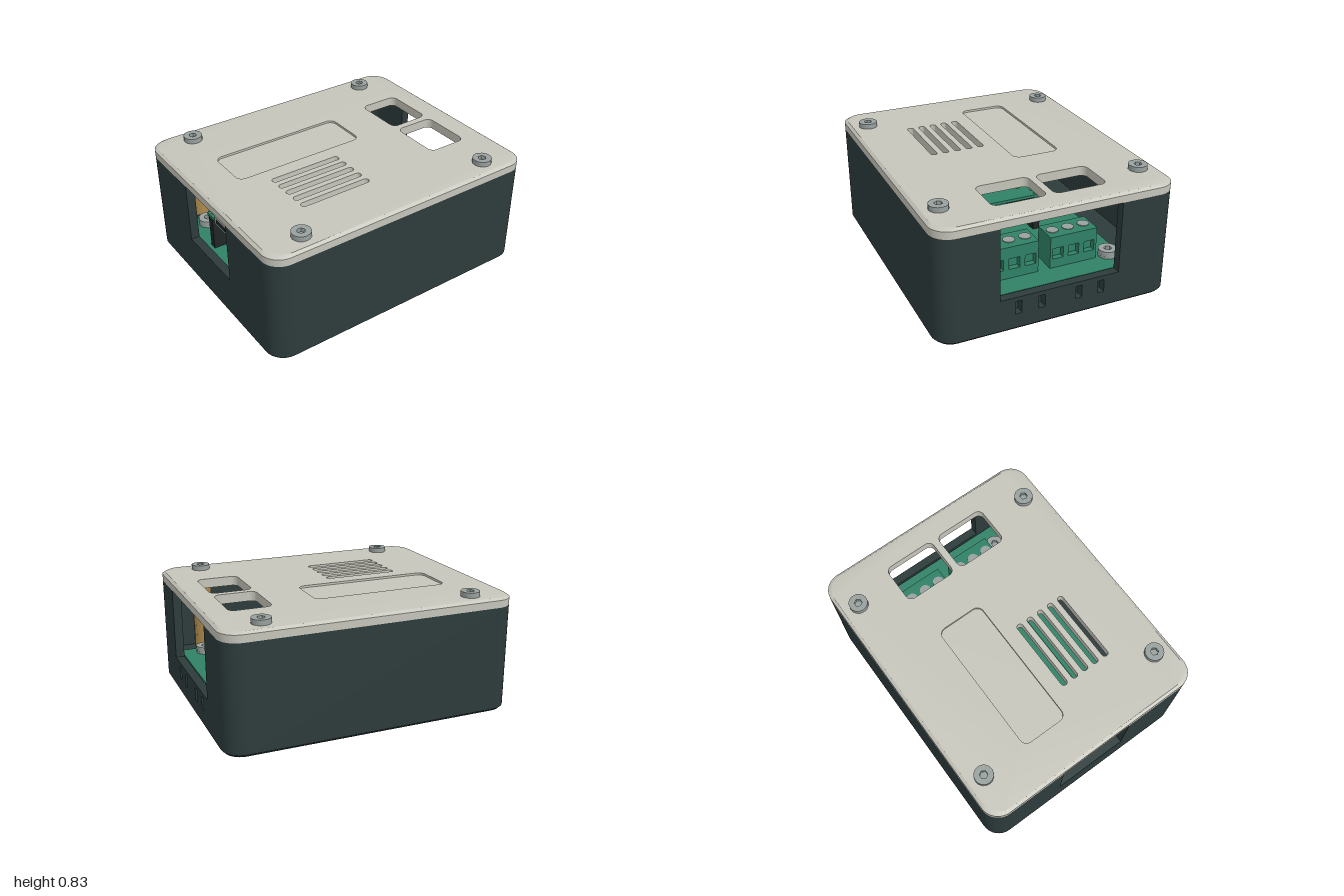
import * as THREE from 'three';
import { toCreasedNormals } from 'three/addons/utils/BufferGeometryUtils.js';

const mat = (name, color) => {
  const m = new THREE.MeshStandardMaterial({ color });
  m.name = name;
  return m;
};

// Rounded rectangle centred on (cx, cz); shape y is -z
function rounded(w, d, r, cx = 0, cz = 0, Type = THREE.Shape) {
  const s = new Type(), x = w / 2 - r, y = d / 2 - r, q = Math.PI / 2;
  [[x, y], [-x, y], [-x, -y], [x, -y]].forEach(([a, b], i) =>
    s.absarc(cx + a, -cz + b, r, i * q, (i + 1) * q, false));
  s.closePath();
  return s;
}

// Regular polygon path
function polygon(n, r, Type = THREE.Path) {
  return new Type(Array.from({ length: n }, (_, i) => {
    const a = (i / n) * Math.PI * 2;
    return new THREE.Vector2(r * Math.cos(a), r * Math.sin(a));
  }));
}

const polyShape = (pts) => new THREE.Shape(pts.map(([x, y]) => new THREE.Vector2(x, y)));

// Flat shape extruded upward from y0 to y1
function slab(shape, y0, y1) {
  const g = new THREE.ExtrudeGeometry(shape, { depth: y1 - y0, bevelEnabled: false, curveSegments: 8 });
  return toCreasedNormals(g.rotateX(-Math.PI / 2).translate(0, y0, 0), 0.6);
}

export function createModel() {
  const model = new THREE.Group();
  const dark = mat('dark case', 0x2d3b3b);
  const cream = mat('pale lid', 0xc6c5bb);
  const green = mat('board green', 0x2f8166);
  const steel = mat('steel', 0x98a19f);
  const brass = mat('brass', 0xb08c4e);
  const black = mat('black plastic', 0x1e2625);

  const add = (name, geo, material, x = 0, y = 0, z = 0, parent = model) => {
    const m = new THREE.Mesh(geo, material);
    m.name = name;
    m.position.set(x, y, z);
    parent.add(m);
    return m;
  };
  const box = (name, w, h, d, material, x, y, z) =>
    add(name, new THREE.BoxGeometry(w, h, d), material, x, y, z);
  const corners = (x, z, fn) => {
    for (const sx of [-1, 1]) for (const sz of [-1, 1]) fn(sx * x, sz * z);
  };

  const W = 1, D = 0.82, R = 0.13, T = 0.06, C = 0.02, TOP = 0.735;

  // Case corners and the plain front and back walls share one section
  const section = [[-C, 0], [0, C], [0, TOP], [-T, TOP], [-T, 0]];
  const lathePts = [...section, section[0]].map(([x, y]) => new THREE.Vector2(R + x, y));
  for (let i = 0; i < 4; i++) {
    const g = new THREE.LatheGeometry(lathePts, 8, (i * Math.PI) / 2, Math.PI / 2);
    add('caseCorner', toCreasedNormals(g, 0.6), dark,
      (i < 2 ? 1 : -1) * (W - R), 0, (i === 0 || i === 3 ? 1 : -1) * (D - R));
  }
  const strip = (pts, len) => new THREE.ExtrudeGeometry(polyShape(pts),
    { depth: len, bevelEnabled: false }).translate(0, 0, -len / 2);
  for (const s of [1, -1]) {
    add(s > 0 ? 'frontWall' : 'backWall', strip(section, 2 * (W - R)), dark, 0, 0, s * D)
      .rotation.y = -s * Math.PI / 2;
    add('sideWallFoot', strip([[-C, 0], [0, C], [-T, C], [-T, 0]], 2 * (D - R)), dark, s * W, 0, 0)
      .rotation.y = s > 0 ? 0 : Math.PI;
  }

  // Side walls with their openings and connector slots
  function sideWall(name, half, sill, slots, x) {
    const e = D - R;
    const s = polyShape([[-e, C], [e, C], [e, TOP], [half, TOP], [half, sill],
      [-half, sill], [-half, TOP], [-e, TOP]]);
    slots.forEach((z) => s.holes.push(rounded(0.045, 0.09, 0.004, z, -0.165, THREE.Path)));
    const g = new THREE.ExtrudeGeometry(s, { depth: T, bevelEnabled: false });
    add(name, g.rotateY(Math.PI / 2), dark, x, 0, 0);
  }
  sideWall('terminalWall', 0.415, 0.24, [-0.29, -0.13, 0.13, 0.29], W - T);
  sideWall('portWall', 0.265, 0.31, [], -W);

  // Floor, set up inside the bottom rim
  add('floor', slab(rounded(2 * (W - T), 2 * (D - T), R - T), 0.09, 0.2), dark);

  // Lid: lower layer, then a chamfered upper layer with a shallow label pocket
  const cutouts = (shape) => {
    for (const z of [-0.215, 0.205]) shape.holes.push(rounded(0.29, 0.37, 0.045, 0.685, z, THREE.Path));
    for (let i = 0; i < 5; i++)
      shape.holes.push(rounded(0.52, 0.045, 0.022, -0.29, 0.09 + i * 0.085, THREE.Path));
    return shape;
  };
  add('lidBase', slab(cutouts(rounded(2 * W, 2 * D, R)), TOP, 0.785), cream);
  const upper = cutouts(rounded(2 * W, 2 * D, R));
  upper.holes.push(rounded(0.96, 0.33, 0.05, -0.24, -0.205, THREE.Path));
  const upperGeo = slab(upper, 0.785, 0.8);
  const p = upperGeo.attributes.position;
  for (let i = 0; i < p.count; i++) {
    const x = p.getX(i), z = p.getZ(i);
    if (p.getY(i) > 0.79 && Math.max(Math.abs(x) / W, Math.abs(z) / D) > 0.88)
      p.setXYZ(i, x * (1 - C / W), p.getY(i), z * (1 - C / D));
  }
  add('lidTop', toCreasedNormals(upperGeo, 0.6), cream);

  // Socket head screw
  const headShape = new THREE.Shape().absarc(0, 0, 0.064, 0, Math.PI * 2);
  headShape.holes.push(polygon(6, 0.027));
  const headGeo = slab(headShape, 0, 0.035);
  const screwHead = (name, x, y, z) => {
    add(name, headGeo, steel, x, y, z);
    add(name + 'Socket', new THREE.CylinderGeometry(0.04, 0.04, 0.006, 12), steel, x, y + 0.006, z);
  };

  // Lid screws on brass standoffs, with their lower ends under the floor
  corners(0.72, 0.69, (x, z) => {
    screwHead('lidScrew', x, 0.8, z);
    add('standoff', new THREE.CylinderGeometry(0.07, 0.07, 0.535, 6).toNonIndexed(), brass, x, 0.4675, z);
    add('standoffWasher', new THREE.CylinderGeometry(0.06, 0.06, 0.025, 12), brass, x, 0.078, z);
    add('standoffScrew', new THREE.CylinderGeometry(0.055, 0.055, 0.045, 12), steel, x, 0.043, z);
  });

  // Main board with its screws and nuts
  box('mainBoard', 1.86, 0.035, 1.12, green, 0, 0.2175, 0);
  corners(0.77, 0.47, (x, z) => {
    screwHead('boardScrew', x, 0.25, z);
    add('boardScrewCollar', new THREE.CylinderGeometry(0.064, 0.064, 0.015, 24), steel, x, 0.2425, z);
    add('nut', new THREE.CylinderGeometry(0.07, 0.07, 0.05, 6), steel, x, 0.065, z);
    add('screwEnd', new THREE.CylinderGeometry(0.035, 0.035, 0.03, 16), steel, x, 0.03, z);
  });

  // Two three-way terminal blocks with wire openings and clamp screws
  for (const zc of [0.215, -0.208]) {
    const block = new THREE.Group();
    block.name = 'terminalBlock';
    block.position.set(0, 0, zc);
    model.add(block);
    add('terminalBody', new THREE.BoxGeometry(0.135, 0.225, 0.338), green, 0.6675, 0.3475, 0, block);
    const face = polyShape([[-0.169, 0.235], [0.169, 0.235], [0.169, 0.46], [-0.169, 0.46]]);
    for (const z of [-0.113, 0, 0.113])
      face.holes.push(rounded(0.076, 0.076, 0.003, z, -0.338, THREE.Path));
    const faceGeo = new THREE.ExtrudeGeometry(face, { depth: 0.04, bevelEnabled: false });
    add('terminalFace', faceGeo.rotateY(Math.PI / 2), green, 0.735, 0, 0, block);
    for (const z of [-0.113, 0, 0.113])
      add('clampScrew', new THREE.CylinderGeometry(0.04, 0.04, 0.008, 20), steel, 0.685, 0.461, z, block);
  }

  // Controller board raised on two pin headers
  box('controllerBoard', 1.14, 0.02, 0.465, green, -0.31, 0.495, 0);
  const pad = new THREE.CylinderGeometry(0.016, 0.016, 0.008, 10);
  for (const s of [-1, 1]) {
    box('pinHeader', 1.13, 0.25, 0.05, black, -0.31, 0.36, s * 0.2);
    for (let i = 0; i < 20; i++) add('pinPad', pad, brass, -0.85 + i * 0.057, 0.507, s * 0.2);
  }
  box('chip', 0.17, 0.025, 0.17, black, -0.22, 0.517, 0);
  box('smallPart', 0.04, 0.015, 0.03, brass, -0.47, 0.512, 0.07);
  box('smallPart', 0.04, 0.015, 0.02, brass, 0.1, 0.512, -0.12);

  // Data port with a dark slot
  box('port', 0.14, 0.06, 0.175, steel, -0.83, 0.535, 0);
  box('portSlot', 0.006, 0.026, 0.12, black, -0.901, 0.535, 0);

  return model;
}
